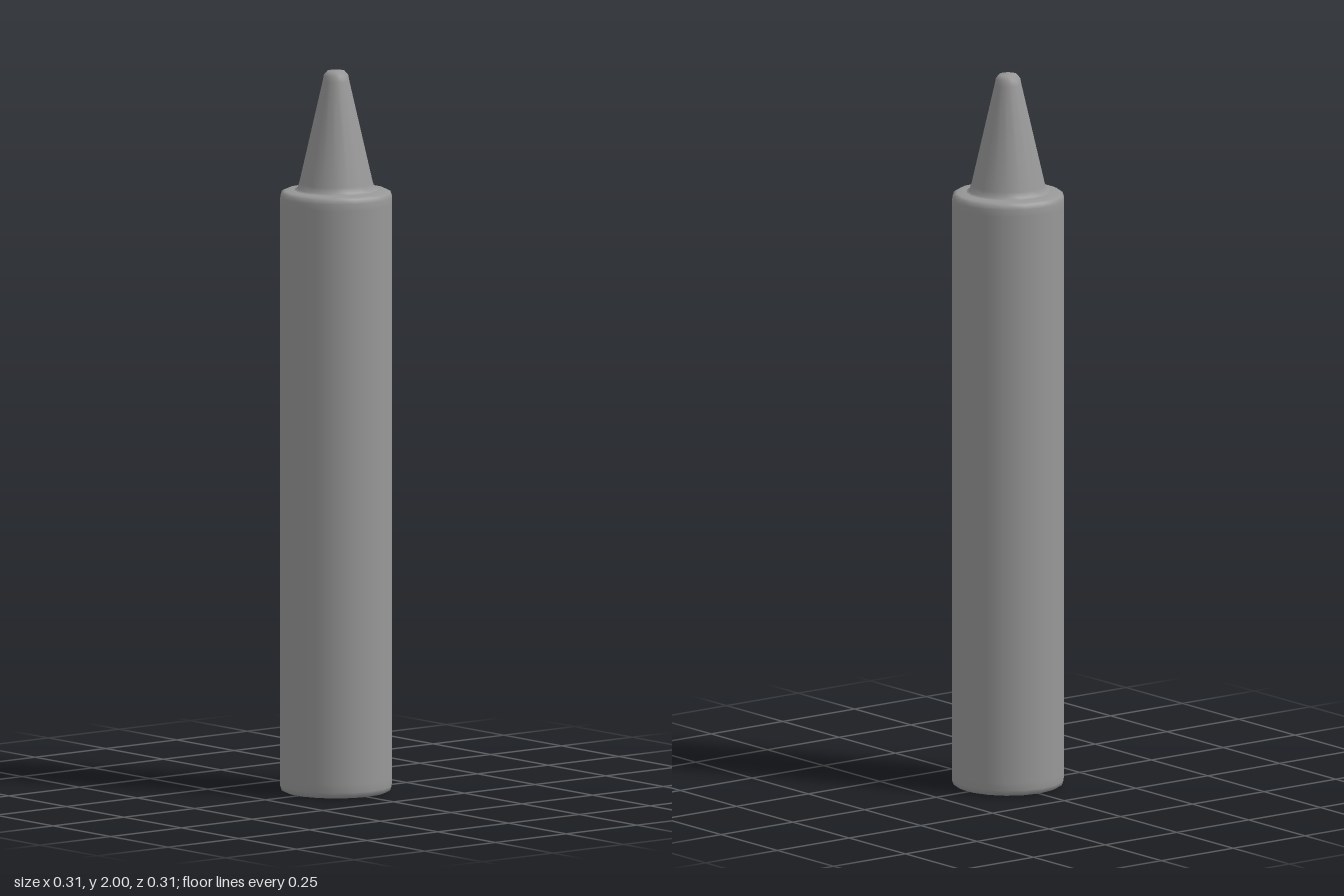
import * as THREE from 'three';

const SIDES = 18;

// Smooth turned part from [radius, height] pairs, bottom to top
function turned(name, profile) {
  const points = profile.map(([r, y]) => new THREE.Vector2(r, y));
  // start at +x so that a corner lies on the x axis
  const geometry = new THREE.LatheGeometry(points, SIDES, Math.PI / 2);
  const mesh = new THREE.Mesh(geometry, new THREE.MeshStandardMaterial({ color: 0x989898 }));
  mesh.name = name;
  return mesh;
}

export function createModel() {
  const group = new THREE.Group();
  group.name = 'crayon';

  // Cylindrical body with softly bevelled rims and a nearly flat shoulder
  group.add(turned('body', [
    [0, 0], [0.12, 0], [0.141, 0.001], [0.151, 0.006], [0.155, 0.018], [0.155, 0.04],
    [0.155, 1.63], [0.155, 1.65], [0.151, 1.662], [0.141, 1.667], [0.115, 1.669],
  ]));

  // Tapered tip with a small fillet at its base and a rounded end
  group.add(turned('tip', [
    [0.115, 1.669], [0.107, 1.673], [0.102, 1.688],
    [0.037, 1.97], [0.034, 1.986], [0.024, 1.998], [0, 2],
  ]));

  return group;
}
